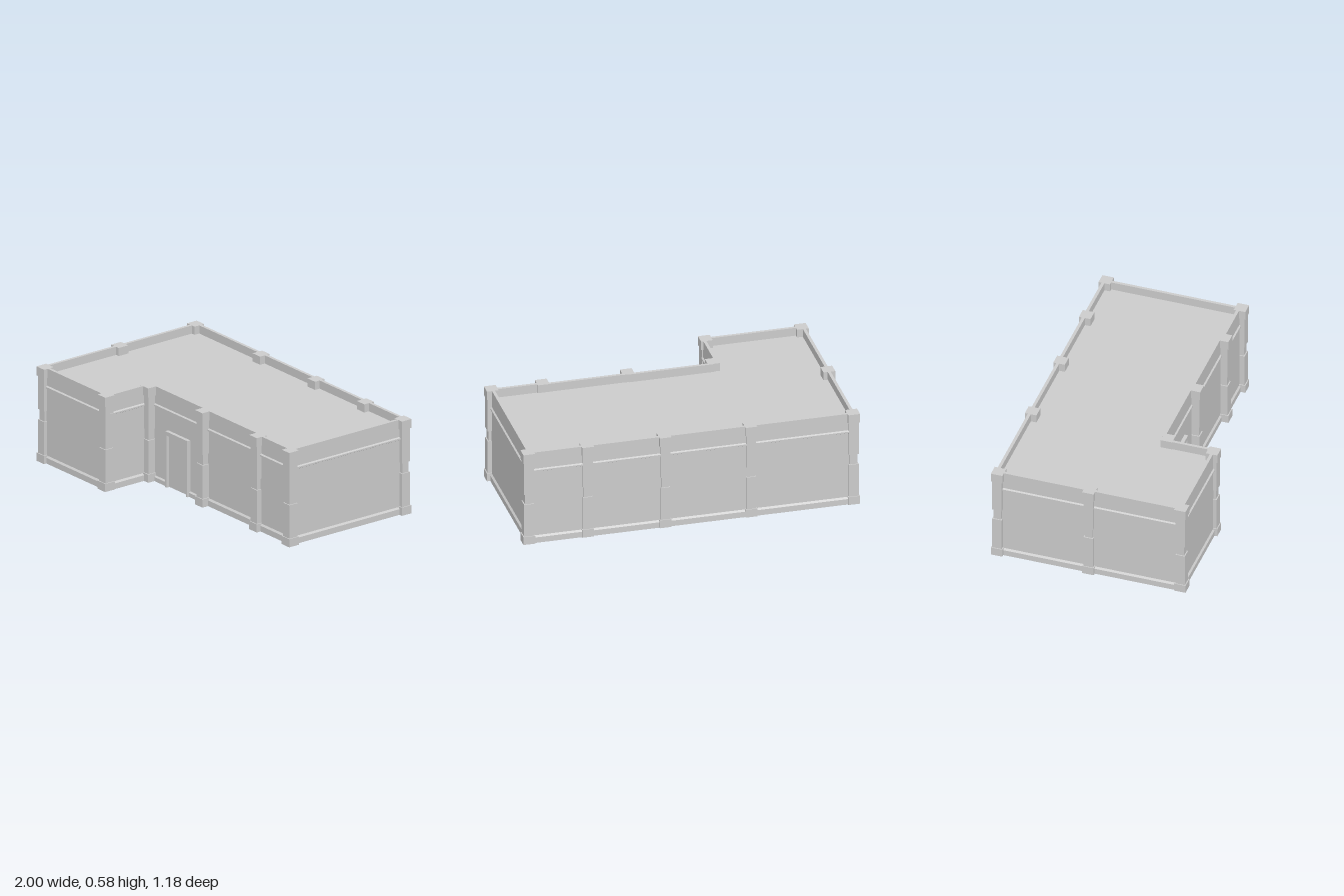
import * as THREE from 'three';

const material = new THREE.MeshStandardMaterial({ color: 0xcccccc, flatShading: true, side: THREE.DoubleSide });
const TOP = 0.58, ROOF = 0.53;

// Wall cross-section as [outward offset, height]: plinth, face, ledge, parapet, inner lip
function wallProfile(plinth) {
  const base = plinth > 0
    ? [[0.01, 0], [0.01, plinth * 0.78], [0, plinth]]
    : [[0, 0]];
  return [...base, [0, 0.455], [0.009, 0.46], [0.009, 0.469], [0, 0.475],
    [0, TOP], [-0.018, TOP], [-0.018, ROOF - 0.002]];
}

// Sweeps the wall section from a to b; outside lies on the right-hand side of travel
function wall(name, [ax, az], [bx, bz], plinth = 0.045) {
  const length = Math.hypot(bx - ax, bz - az);
  const nx = -(bz - az) / length, nz = (bx - ax) / length;
  const profile = wallProfile(plinth);
  const positions = [];
  for (let i = 0; i < profile.length - 1; i++) {
    const [o0, y0] = profile[i], [o1, y1] = profile[i + 1];
    const a0 = [ax + nx * o0, y0, az + nz * o0], b0 = [bx + nx * o0, y0, bz + nz * o0];
    const a1 = [ax + nx * o1, y1, az + nz * o1], b1 = [bx + nx * o1, y1, bz + nz * o1];
    positions.push(...a0, ...b0, ...b1, ...a0, ...b1, ...a1);
  }
  const geometry = new THREE.BufferGeometry();
  geometry.setAttribute('position', new THREE.Float32BufferAttribute(positions, 3));
  geometry.computeVertexNormals();
  const mesh = new THREE.Mesh(geometry, material);
  mesh.name = name;
  return mesh;
}

function box(name, w, h, d, x, y, z) {
  const mesh = new THREE.Mesh(new THREE.BoxGeometry(w, h, d), material);
  mesh.position.set(x, y, z);
  mesh.name = name;
  return mesh;
}

// Square pillar with base, two shafts, a narrow waist and a cap
function pillar(x, z) {
  const group = new THREE.Group();
  group.name = 'pillar';
  const parts = [
    ['pillarBase', 0.07, 0, 0.05],
    ['pillarLowerShaft', 0.058, 0.05, 0.255],
    ['pillarWaist', 0.045, 0.255, 0.32],
    ['pillarUpperShaft', 0.058, 0.32, 0.525],
    ['pillarCap', 0.07, 0.525, TOP],
  ];
  for (const [name, w, y0, y1] of parts) group.add(box(name, w, y1 - y0, w, 0, (y0 + y1) / 2, 0));
  group.position.set(x, 0, z);
  return group;
}

// Door frame around a flat door leaf
function doorway(x0, x1, height, z) {
  const group = new THREE.Group();
  group.name = 'doorway';
  const t = 0.012, top = 0.024;
  const outline = new THREE.Shape([
    [x0, 0], [x0 + t, 0], [x0 + t, height - top], [x1 - t, height - top],
    [x1 - t, 0], [x1, 0], [x1, height], [x0, height],
  ].map(([x, y]) => new THREE.Vector2(x, y)));
  const frame = new THREE.Mesh(
    new THREE.ExtrudeGeometry(outline, { depth: 0.022, bevelEnabled: false }), material);
  frame.position.z = z;
  frame.name = 'doorFrame';
  const h = height - top;
  group.add(frame, box('door', x1 - x0 - 2 * t, h - 0.008, 0.006, (x0 + x1) / 2, h / 2 + 0.004, z + 0.002));
  return group;
}

export function createModel() {
  const model = new THREE.Group();
  model.name = 'building';

  // Walls, running around the L-shaped plan
  model.add(
    wall('wingFrontWall', [-0.955, 0.561], [-0.385, 0.561]),
    wall('wingInnerWall', [-0.364, 0.55], [-0.364, 0.265]),
    wall('doorWallRight', [-0.35, 0.246], [-0.2, 0.246], 0.032),
    wall('doorWallMiddle', [-0.2, 0.246], [0.005, 0.246], 0),
    wall('doorWallLeft', [0.005, 0.246], [0.155, 0.246], 0.032),
    wall('frontWallMiddle', [0.155, 0.251], [0.66, 0.251]),
    wall('frontWallEnd', [0.66, 0.264], [0.96, 0.264]),
    wall('leftWall', [0.968, 0.265], [0.968, -0.555]),
    wall('backWall', [0.965, -0.57], [-0.965, -0.57]),
    wall('rightWall', [-0.973, -0.555], [-0.973, 0.55]),
  );

  // Roof slab sheet, sunk below the parapet
  const plan = new THREE.Shape([
    [-0.965, -0.56], [0.96, -0.56], [0.96, 0.24], [-0.37, 0.24], [-0.37, 0.552], [-0.965, 0.552],
  ].map(([x, z]) => new THREE.Vector2(x, -z)));
  const roof = new THREE.Mesh(new THREE.ShapeGeometry(plan), material);
  roof.rotation.x = -Math.PI / 2;
  roof.position.y = ROOF;
  roof.name = 'roof';
  model.add(roof);

  // Pillars
  const spots = [
    ...[-0.965, -0.355, 0.155, 0.615, 0.965].map((x) => [x, -0.553]),
    ...[-0.35, 0.155, 0.66, 0.963].map((x) => [x, 0.267]),
    [-0.955, 0.553], [-0.385, 0.553], [-0.965, 0],
  ];
  for (const [x, z] of spots) model.add(pillar(x, z));

  model.add(doorway(-0.2, 0.005, 0.345, 0.246));
  return model;
}
